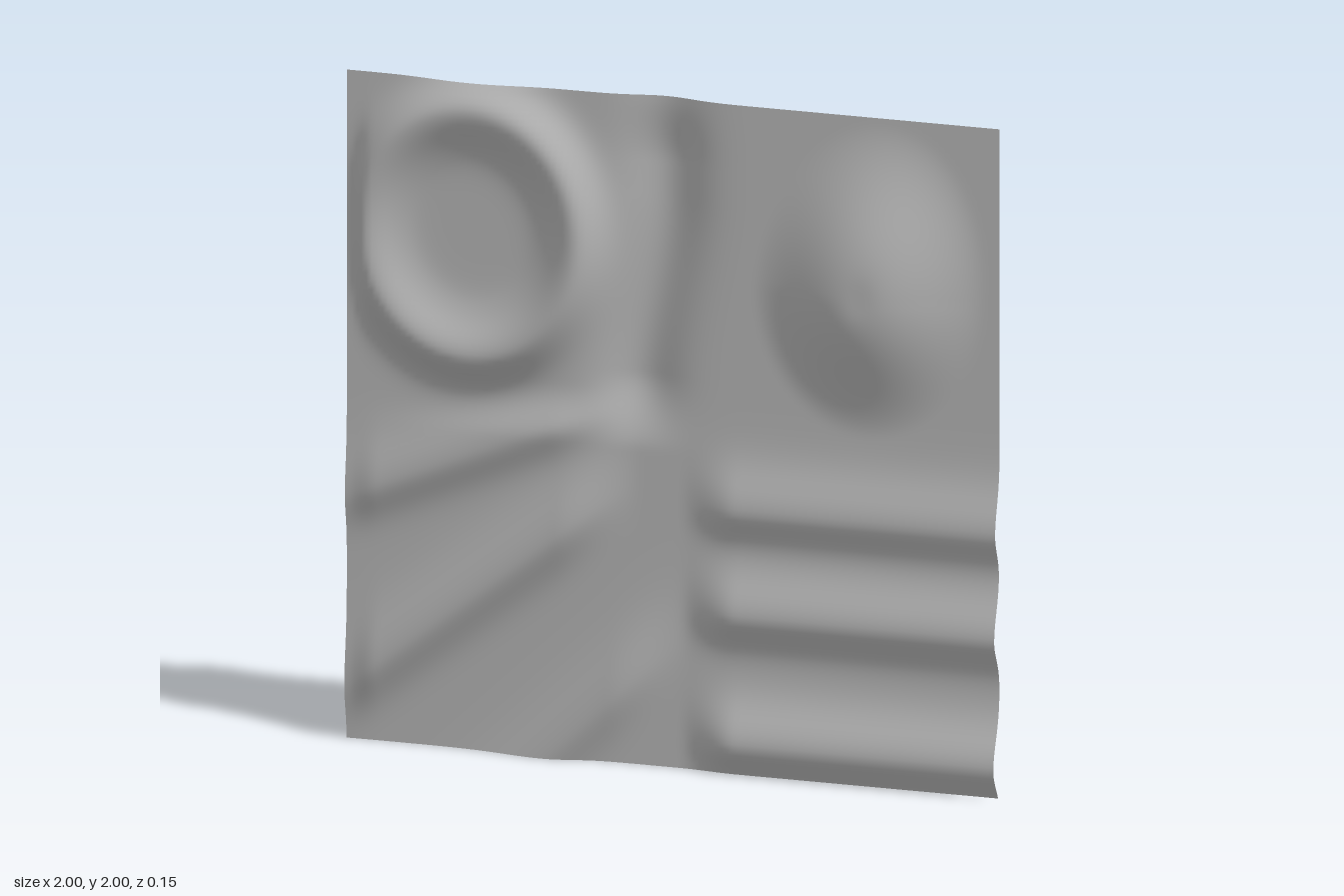
import * as THREE from 'three';

const BASE = -0.024;
const { smoothstep } = THREE.MathUtils;
const gauss = (d, s) => Math.exp(-(d * d) / (2 * s * s));
// rounded crest with a different width on each side
const crest = (d, below, above) => gauss(d, d < 0 ? below : above);

// raised oval ring, upper left
function ring(x, y) {
  const rx = 0.325, ry = 0.365;
  const u = (x + 0.61) / rx, v = (y - 1.555) / ry;
  const r = Math.hypot(u, v);
  const d = (r - 1) * 0.345;
  const edge = smoothstep(x, -1, -0.92);
  const floor = 0.012 * (1 - smoothstep(r, 0.6, 1));
  return edge * (0.07 * crest(d, 0.068, 0.055) + floor);
}

// egg shaped swelling, upper right: steep below, gentle above
function dome(x, y) {
  const v = y - 1.47;
  const lean = v > 0 ? 0.08 * v : 0;
  const r = Math.hypot((x - 0.6 - lean) / 0.33, v / (v < 0 ? 0.4 : 0.48));
  return 0.096 * (1 - smoothstep(r, 0.1, 1.08));
}

// hollow running down between the ring and the dome
function hollow(x, y) {
  const cx = -0.03 - 0.08 * (1 - smoothstep(y, 1.1, 1.7));
  const depth = 0.052 - 0.022 * smoothstep(y, 1.8, 2);
  return -depth * gauss(x - cx, 0.08) * smoothstep(y, 0.94, 1.16);
}

// level ridges, lower right: [crest height, relief]
const LEVEL = [[0.79, 0.04], [0.475, 0.048], [0.09, 0.056]];
function levelRidges(x, y) {
  let z = 0;
  for (const [c, h] of LEVEL) z += h * crest(y - c, 0.055, 0.085);
  return z * smoothstep(x, 0.02, 0.2);
}

// fanned ridges, lower left: [x, y, slope, end of ridge in x, relief]
const FAN = [
  [-1, 0.73, 0.42, -0.12, 0.034],
  [-1, 0.16, 0.78, -0.1, 0.044],
  [-0.25, 0.13, 0.95, 0.06, 0.036],
];
function fannedRidges(x, y) {
  let z = 0;
  for (const [px, py, m, end, h] of FAN) {
    const d = (y - py - m * (x - px)) / Math.hypot(1, m);
    z += h * crest(d, 0.055, 0.085) * (1 - smoothstep(x, end - 0.25, end));
  }
  return z * (1 - smoothstep(y, 0.95, 1.12)) * (0.5 + 0.5 * smoothstep(x, -1, -0.9));
}

export function createModel() {
  const stone = new THREE.MeshStandardMaterial({ color: 0xb8b8b8, side: THREE.DoubleSide });
  stone.name = 'light grey';

  // thin square sheet pushed into relief
  const geometry = new THREE.PlaneGeometry(2, 2, 120, 120).translate(0, 1, 0);
  const p = geometry.attributes.position;
  for (let i = 0; i < p.count; i++) {
    const x = p.getX(i), y = p.getY(i);
    const z = BASE + ring(x, y) + dome(x, y) + hollow(x, y)
      + levelRidges(x, y) + fannedRidges(x, y);
    p.setZ(i, z);
  }
  geometry.computeVertexNormals();

  const sheet = new THREE.Mesh(geometry, stone);
  sheet.name = 'reliefSheet';
  const group = new THREE.Group();
  group.name = 'reliefPanel';
  group.add(sheet);
  return group;
}
